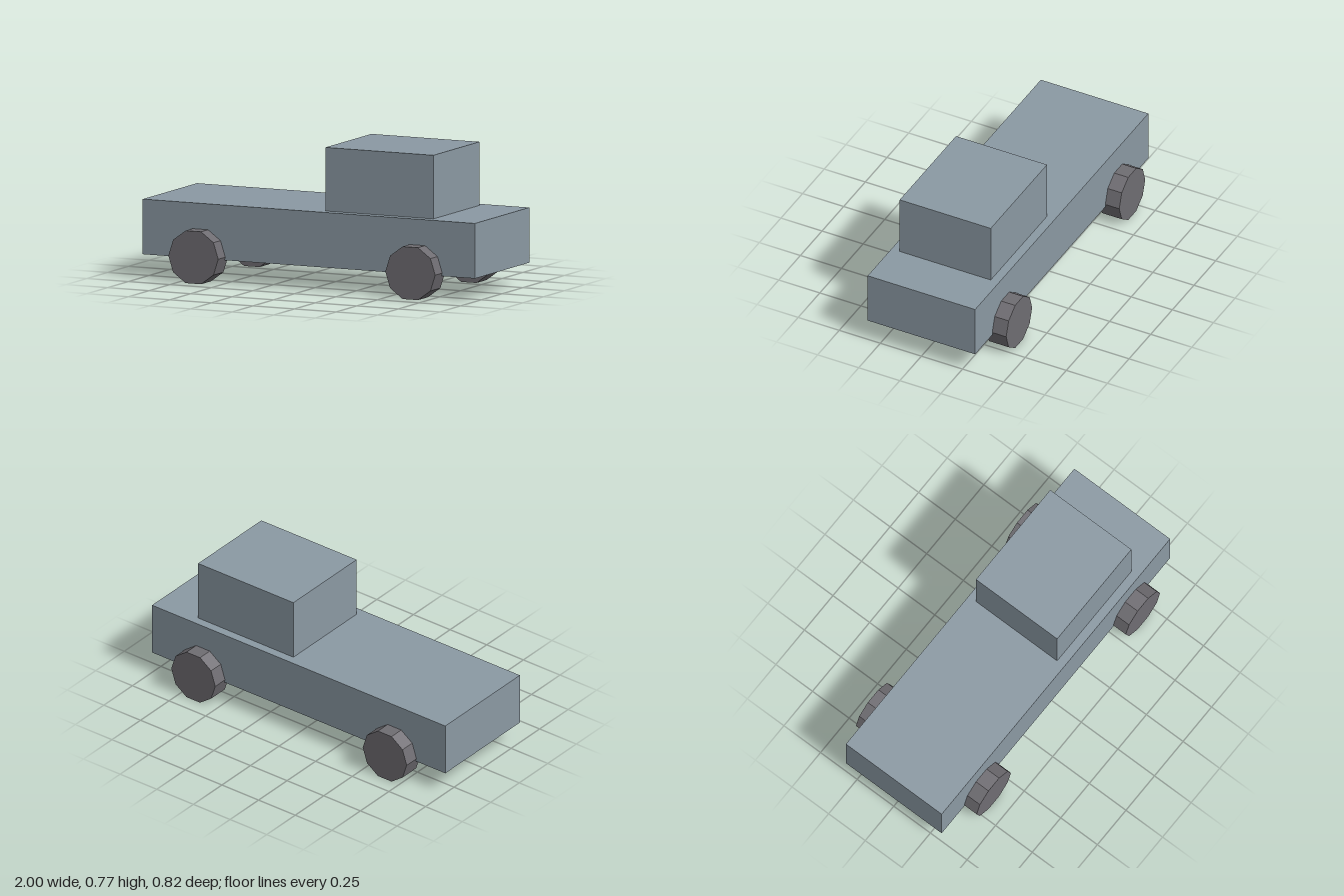
import * as THREE from 'three';

export function createModel() {
  const model = new THREE.Group();
  model.name = 'pickupTruck';

  const paint = new THREE.MeshStandardMaterial({ color: 0x8b99a3, flatShading: true });
  paint.name = 'blue grey paint';
  const rubber = new THREE.MeshStandardMaterial({ color: 0x6f6d72, flatShading: true });
  rubber.name = 'grey rubber';

  const add = (name, geometry, material, x, y, z) => {
    const mesh = new THREE.Mesh(geometry, material);
    mesh.name = name;
    mesh.position.set(x, y, z);
    model.add(mesh);
  };

  // Long body slab with the cab standing on it
  add('body', new THREE.BoxGeometry(2, 0.3, 0.654), paint, 0, 0.276, 0);
  add('cab', new THREE.BoxGeometry(0.65, 0.346, 0.554), paint, 0.4, 0.599, 0);

  // Ten-sided wheels resting on a flat, axles along z
  const radius = 0.15;
  const wheel = new THREE.CylinderGeometry(radius, radius, 0.12, 10)
    .rotateY(Math.PI / 2)
    .rotateX(Math.PI / 2);
  const axleHeight = radius * Math.cos(Math.PI / 10);
  for (const [end, x] of [['left', 0.653], ['right', -0.653]]) {
    for (const [side, z] of [['Front', 0.352], ['Back', -0.352]]) {
      add(`${end}${side}Wheel`, wheel, rubber, x, axleHeight, z);
    }
  }

  return model;
}
